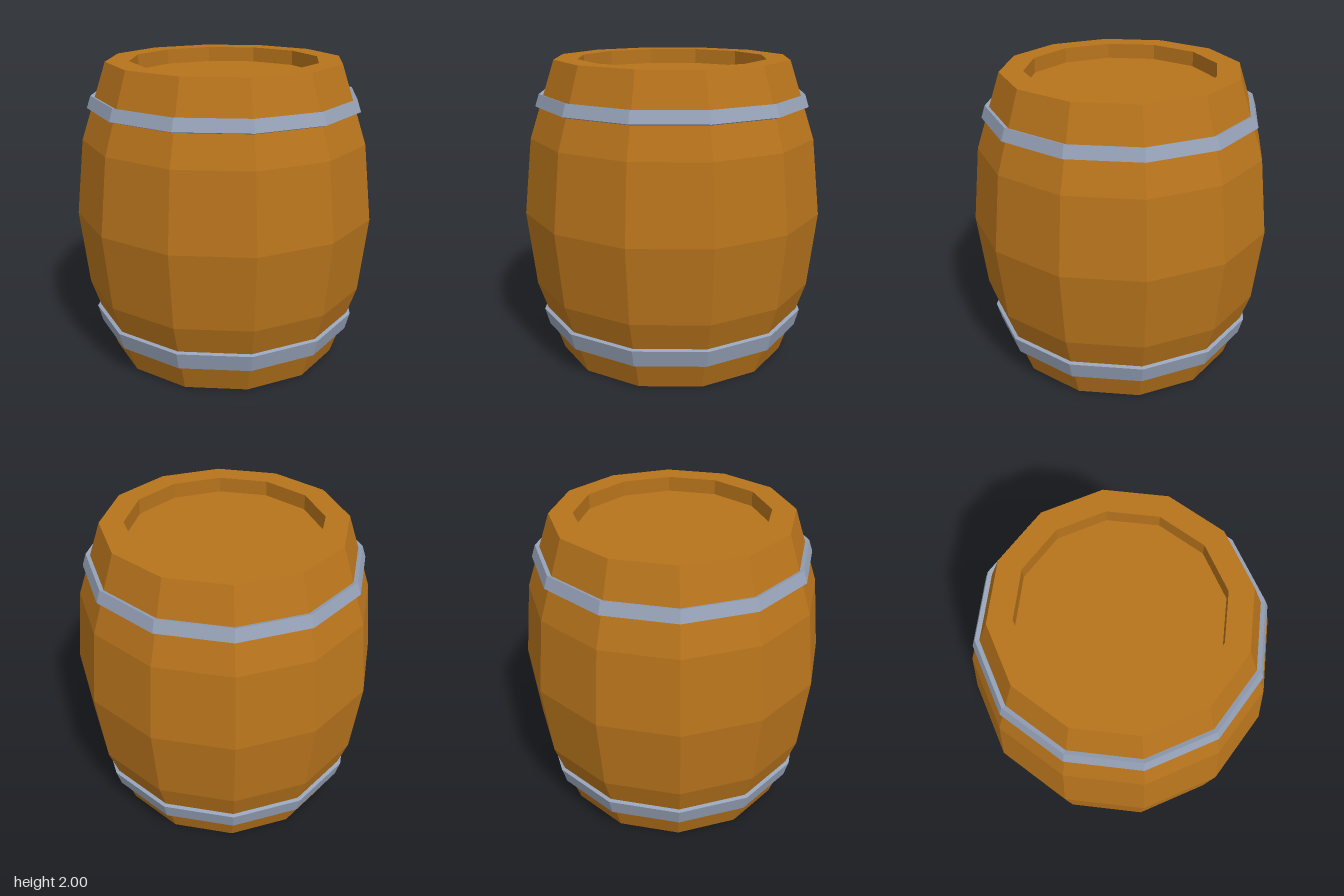
import * as THREE from 'three';

const SIDES = 12;
const wood = new THREE.MeshStandardMaterial({ color: 0xb8741c, flatShading: true });
const metal = new THREE.MeshStandardMaterial({ color: 0x97a3b9, flatShading: true });

// Faceted turned part from [radius, height] pairs, running upwards on the outside
function turned(name, profile, material) {
  const points = profile.map(([r, y]) => new THREE.Vector2(r, y));
  const mesh = new THREE.Mesh(new THREE.LatheGeometry(points, SIDES), material);
  mesh.name = name;
  return mesh;
}

export function createModel() {
  const barrel = new THREE.Group();
  barrel.name = 'barrel';

  // Bulging staves with a recessed lid at each end
  barrel.add(turned('body', [
    [0, 0.1], [0.625, 0.1], [0.625, 0], [0.778, 0],
    [0.945, 0.5], [1, 1], [0.945, 1.5],
    [0.778, 2], [0.625, 2], [0.625, 1.9], [0, 1.9],
  ], wood));

  // Hoops, tilted to follow the staves; the lower one is wider
  barrel.add(turned('lowerHoop', [
    [0.845, 0.2], [0.875, 0.19], [0.906, 0.305], [0.88, 0.313], [0.845, 0.2],
  ], metal));
  barrel.add(turned('upperHoop', [
    [0.878, 1.697], [0.906, 1.707], [0.88, 1.786], [0.853, 1.777], [0.878, 1.697],
  ], metal));

  return barrel;
}
